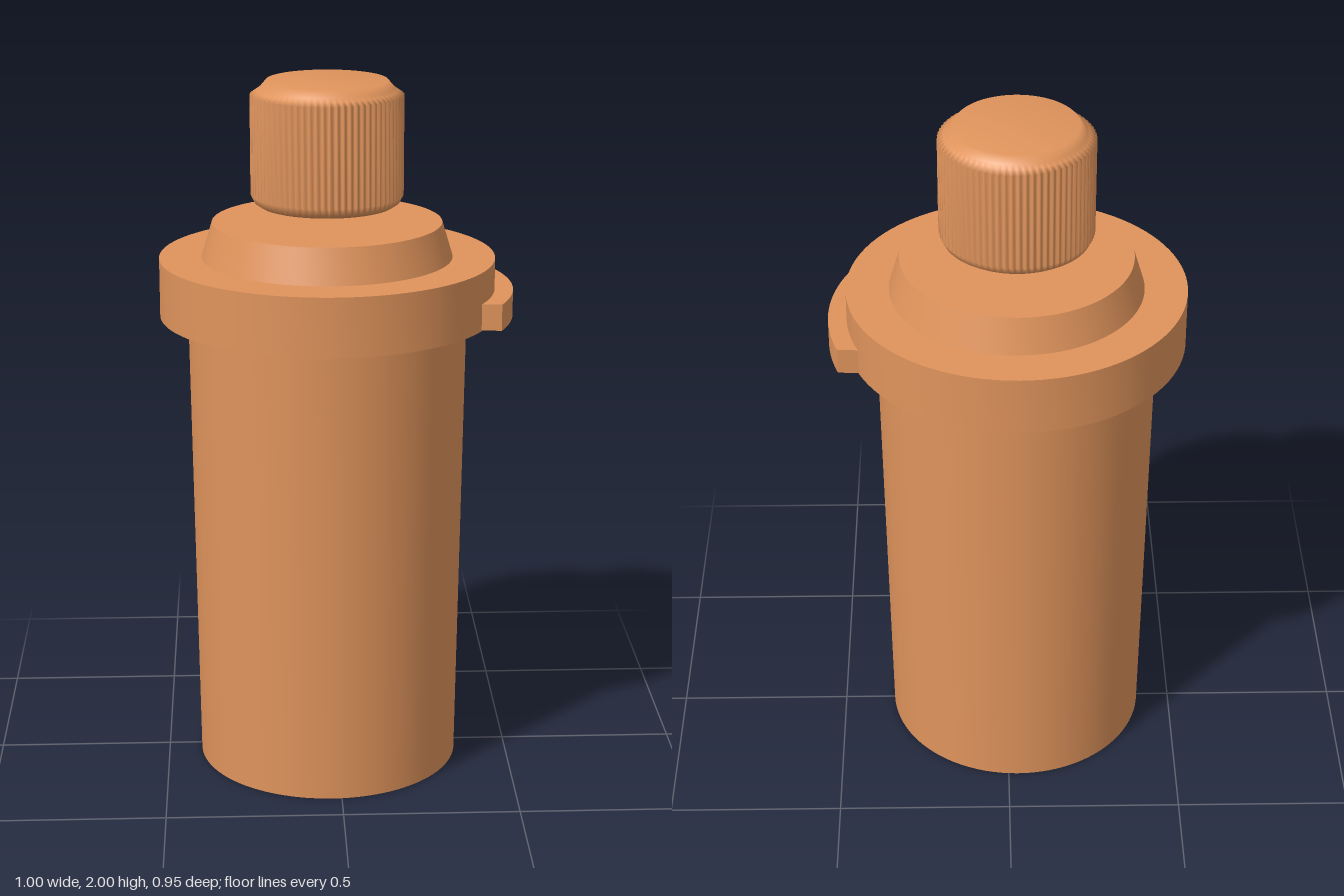
import * as THREE from 'three';
import { toCreasedNormals } from 'three/addons/utils/BufferGeometryUtils.js';

const material = new THREE.MeshStandardMaterial({ color: 0xe0945c, side: THREE.DoubleSide });
const CX = -0.027; // shared axis of the round parts

function addMesh(group, name, geometry, x = 0, z = 0) {
  const mesh = new THREE.Mesh(geometry, material);
  mesh.name = name;
  mesh.position.set(x, 0, z);
  group.add(mesh);
}

// Points are [radius, height], listed so that the outside faces out
function lathe(points, segments = 96) {
  return new THREE.LatheGeometry(points.map(([r, y]) => new THREE.Vector2(r, y)), segments);
}

// Knob with fine vertical grip ribs: every second pair of columns is sunk
function ribbedKnob() {
  const ribs = 72;
  const profile = [[0, 1.65], [0.19, 1.65], [0.205, 1.66], [0.215, 1.68], [0.215, 1.96],
    [0.197, 1.972], [0.187, 1.98], [0.17, 2], [0, 2]];
  const geometry = lathe(profile, ribs * 4);
  const pos = geometry.attributes.position;
  for (let i = 0; i < pos.count; i++) {
    const column = Math.floor(i / profile.length);
    const row = i % profile.length;
    if ((row === 3 || row === 4) && column % 4 > 1) {
      pos.setX(i, pos.getX(i) * 0.975);
      pos.setZ(i, pos.getZ(i) * 0.975);
    }
  }
  geometry.computeVertexNormals();
  return geometry;
}

// Curved thumb tab on the left of the collar
function tabGeometry() {
  const radius = 0.527, start = -0.442, end = 0.35;
  const shape = new THREE.Shape();
  shape.moveTo(0.42, -0.22);
  shape.lineTo(radius * Math.cos(start), radius * Math.sin(start));
  shape.absarc(0, 0, radius, start, end, false);
  shape.lineTo(0.435, 0.185);
  shape.closePath();
  const geometry = new THREE.ExtrudeGeometry(shape, { depth: 0.075, bevelEnabled: false, curveSegments: 24 });
  geometry.rotateX(-Math.PI / 2);
  geometry.translate(0, 1.335, 0);
  return toCreasedNormals(geometry, 0.5);
}

export function createModel() {
  const group = new THREE.Group();
  group.name = 'canister';

  // Tapered body with a recessed base that rises to a small central socket
  addMesh(group, 'body', toCreasedNormals(lathe([
    [0, 0.15], [0.022, 0.145], [0.034, 0.125], [0.03, 0.105], [0.02, 0.092],
    [0.035, 0.08], [0.09, 0.068], [0.28, 0.045], [0.34, 0.035], [0.362, 0.015],
    [0.367, 0], [0.377, 0], [0.395, 1.335],
  ]), 0.6), CX, 0.02);

  // Wide collar with a raised, bevelled lid
  addMesh(group, 'collar', toCreasedNormals(lathe([
    [0, 1.333], [0.475, 1.333], [0.475, 1.5], [0.355, 1.5], [0.325, 1.6], [0, 1.6],
  ]), 0.5), CX);

  addMesh(group, 'tab', tabGeometry(), CX);
  addMesh(group, 'knob', ribbedKnob(), CX, 0.005);
  return group;
}
